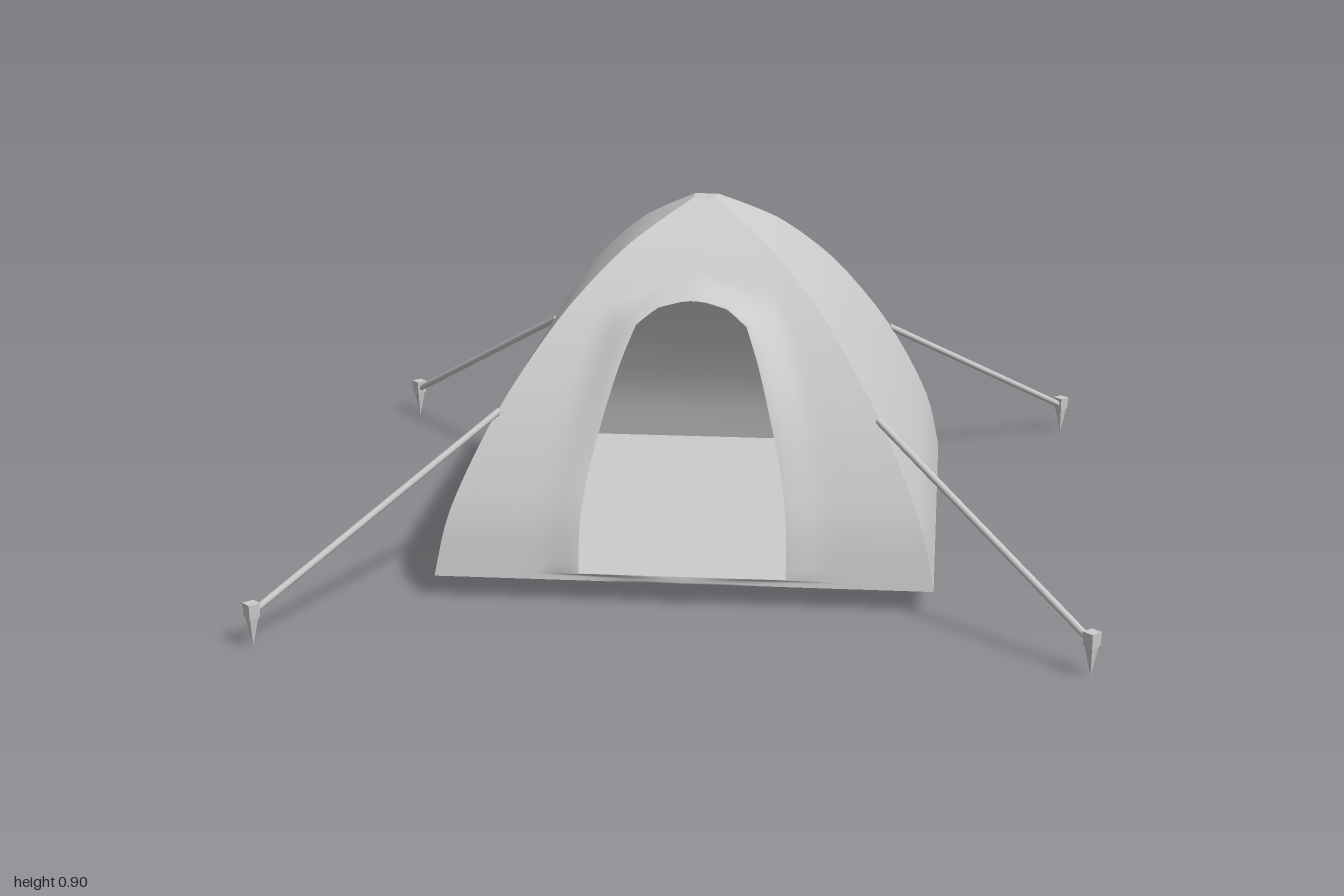
import * as THREE from 'three';

const canvas = new THREE.MeshStandardMaterial({ color: 0xcccccc, side: THREE.DoubleSide });
canvas.name = 'light grey canvas';

const v2 = (points) => points.map(([x, y]) => new THREE.Vector2(x, y));

// Half-width of the tent against height, from the base to the small flat apex
const profile = new THREE.SplineCurve(v2([
  [0.615, 0.055], [0.587, 0.19], [0.54, 0.31], [0.475, 0.44], [0.4, 0.56],
  [0.31, 0.68], [0.2, 0.79], [0.12, 0.847], [0.03, 0.9],
]));
const samples = profile.getSpacedPoints(32);

function halfWidth(y) {
  for (let i = 1; i < samples.length; i++) {
    const a = samples[i - 1], b = samples[i];
    if (y <= b.y) return THREE.MathUtils.mapLinear(y, a.y, b.y, a.x, b.x);
  }
  return samples[samples.length - 1].x;
}

function surface(positions, index) {
  const g = new THREE.BufferGeometry();
  g.setAttribute('position', new THREE.Float32BufferAttribute(positions, 3));
  g.setIndex(index);
  g.computeVertexNormals();
  return g;
}

function add(parent, name, geometry) {
  const mesh = new THREE.Mesh(geometry, canvas);
  mesh.name = name;
  parent.add(mesh);
  return mesh;
}

// Plain curved wall facing +z
function wallGeometry() {
  const pos = [], index = [];
  samples.forEach((p, i) => {
    pos.push(-p.x, p.y, p.x, p.x, p.y, p.x);
    const a = 2 * i;
    if (i) index.push(a - 2, a - 1, a + 1, a - 2, a + 1, a);
  });
  return surface(pos, index);
}

// Closed loop from the bottom right, over the top, and back along the bottom
function mirroredLoop(half) {
  const left = half.slice(0, -1).reverse().map((p) => new THREE.Vector2(-p.x, p.y));
  const start = half[0], bottom = [];
  for (let i = 1; i < 12; i++) bottom.push(new THREE.Vector2(start.x * (i / 6 - 1), start.y));
  return [...half, ...left, ...bottom];
}

// Front wall: rings between the door opening and the wall outline, raised at the door
function frontGeometry() {
  const doorSide = new THREE.SplineCurve(v2([
    [0.255, 0.075], [0.253, 0.2], [0.236, 0.32], [0.207, 0.44], [0.172, 0.56], [0.138, 0.647],
  ])).getSpacedPoints(25);
  const doorTop = v2([[0.12, 0.661], [0.102, 0.674], [0.085, 0.685], [0.06, 0.691],
    [0.035, 0.697], [0.018, 0.699], [0.008, 0.7], [0, 0.7]]);
  const door = mirroredLoop([...doorSide, ...doorTop]);
  const outline = mirroredLoop([...samples, new THREE.Vector2(0, 0.9)]);
  const n = door.length, rings = 12, pos = [], index = [];
  for (let k = 0; k <= rings; k++) {
    const s = (k / rings) ** 1.8;
    for (let j = 0; j < n; j++) {
      const p = door[j].clone().lerp(outline[j], s);
      const high = THREE.MathUtils.smoothstep(door[j].y, 0.3, 0.7);
      const reach = THREE.MathUtils.lerp(0.1, 0.035, THREE.MathUtils.smoothstep(door[j].y, 0.6, 0.7));
      const fall = 1 - THREE.MathUtils.smoothstep(p.distanceTo(door[j]), 0, reach);
      const lift = k === rings ? 0 : (0.01 + 0.035 * high) * fall;
      pos.push(p.x, p.y, halfWidth(p.y) + lift);
      if (k < rings) {
        const a = k * n + j, d = k * n + (j + 1) % n;
        index.push(a, a + n, d + n, a, d + n, d);
      }
    }
  }
  return surface(pos, index);
}

// Straight cord between two points
function cordGeometry(from, to, radius) {
  const dir = to.clone().sub(from);
  const g = new THREE.CylinderGeometry(radius, radius, dir.length(), 8);
  g.applyQuaternion(new THREE.Quaternion().setFromUnitVectors(
    new THREE.Vector3(0, 1, 0), dir.clone().normalize()));
  const mid = from.clone().add(to).multiplyScalar(0.5);
  return g.translate(mid.x, mid.y, mid.z);
}

export function createModel() {
  const model = new THREE.Group();
  model.name = 'tent';

  // Shell
  add(model, 'frontWall', frontGeometry());
  const wall = wallGeometry();
  ['leftWall', 'backWall', 'rightWall'].forEach((name, i) => {
    add(model, name, wall).rotation.y = (i + 1) * Math.PI / 2;
  });
  add(model, 'apexCap', new THREE.PlaneGeometry(0.06, 0.06).rotateX(-Math.PI / 2).translate(0, 0.9, 0));
  add(model, 'floor', new THREE.BoxGeometry(1.22, 0.008, 1.22).translate(0, 0.059, 0));

  // Guy ropes and pegs at the four corners
  const rope = cordGeometry(new THREE.Vector3(0.47, 0.442, 0.47), new THREE.Vector3(0.978, 0.08, 0.978), 0.009);
  const head = new THREE.CylinderGeometry(0.022, 0.019, 0.035, 4, 1).toNonIndexed();
  const spike = new THREE.CylinderGeometry(0.016, 0.001, 0.07, 4, 1).toNonIndexed();
  head.computeVertexNormals();
  spike.computeVertexNormals();
  head.translate(0.978, 0.0875, 0.978);
  spike.translate(0.978, 0.035, 0.978);
  for (let i = 0; i < 4; i++) {
    const corner = new THREE.Group();
    corner.name = 'guyLine' + (i + 1);
    add(corner, 'rope', rope);
    add(corner, 'pegHead', head);
    add(corner, 'pegSpike', spike);
    corner.rotation.y = i * Math.PI / 2;
    model.add(corner);
  }
  return model;
}
